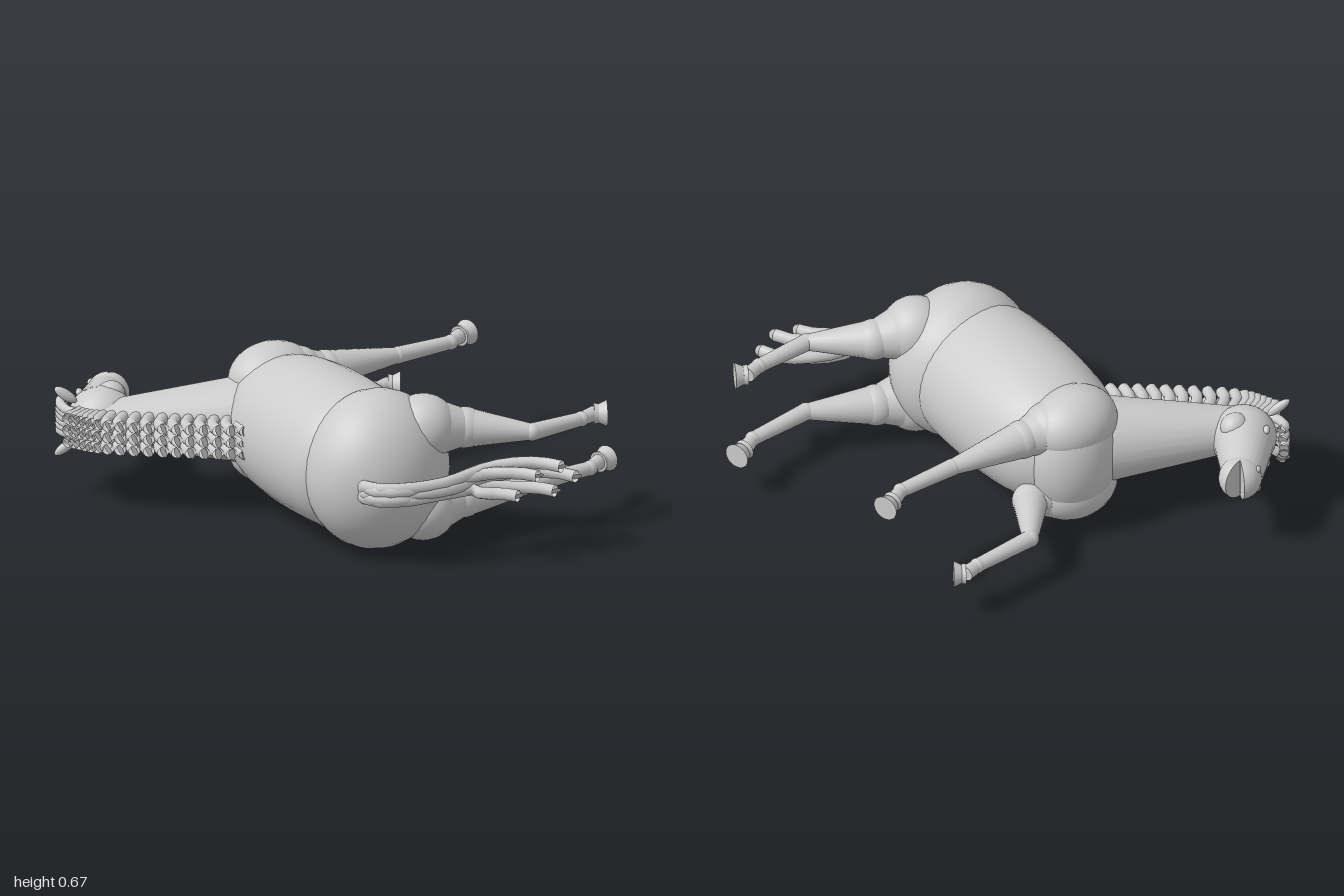
import * as THREE from 'three';

const mat = new THREE.MeshStandardMaterial({ color: 0xcccccc, side: THREE.DoubleSide });

// horse frame: x towards the tail, up along the back, lat towards the upper flank
const v = (x, up, lat = 0) => new THREE.Vector3(x, up, -lat);

function add(parent, name, geometry, pos) {
  const mesh = new THREE.Mesh(geometry, mat);
  mesh.name = name;
  if (pos) mesh.position.copy(pos);
  parent.add(mesh);
  return mesh;
}

function ellipsoid(parent, name, pos, rx, ry, rz, tilt = 0) {
  const mesh = add(parent, name, new THREE.SphereGeometry(1, 32, 24), pos);
  mesh.scale.set(rx, ry, rz);
  mesh.rotation.z = tilt;
  return mesh;
}

// tapered cylinder between two points
function cone(parent, name, a, b, ra, rb) {
  const dir = b.clone().sub(a);
  const mesh = add(parent, name, new THREE.CylinderGeometry(rb, ra, dir.length(), 24),
    a.clone().add(b).multiplyScalar(0.5));
  mesh.quaternion.setFromUnitVectors(new THREE.Vector3(0, 1, 0), dir.normalize());
  return mesh;
}

// curved lock of hair with a flat end
function strand(parent, name, points, r) {
  const curve = new THREE.CatmullRomCurve3(points);
  add(parent, name, new THREE.TubeGeometry(curve, 14, r, 10), null);
  const end = curve.getPoint(1);
  const cap = add(parent, name + 'End', new THREE.CircleGeometry(r, 10), end);
  cap.lookAt(end.clone().add(curve.getTangent(1)));
}

// joints: [x, up, lat, radius] from the body down to the fetlock, then the hoof
function leg(parent, name, joints, hoofTop, hoofSole) {
  const g = new THREE.Group();
  g.name = name;
  parent.add(g);
  const p = joints.map(j => v(j[0], j[1], j[2]));
  joints.forEach((j, i) => {
    ellipsoid(g, 'joint', p[i], j[3], j[3], j[3]);
    if (i) cone(g, 'legSegment', p[i - 1], p[i], joints[i - 1][3] * 0.98, j[3] * 0.9);
  });
  const last = joints[joints.length - 1];
  const top = v(hoofTop[0], hoofTop[1], last[2]);
  const sole = v(hoofSole[0], hoofSole[1], last[2]);
  const mid = top.clone().lerp(sole, 0.35);
  cone(g, 'pastern', p[p.length - 1], top, 0.028, 0.032);
  cone(g, 'coronet', top, mid, 0.043, 0.04);
  cone(g, 'hoof', mid, sole, 0.038, 0.054);
}

function buildBody(g) {
  // barrel: lathe along x, tipped slightly up towards the rump
  const profile = [[0, -0.48], [0.15, -0.45], [0.235, -0.37], [0.283, -0.25], [0.304, -0.1], [0.31, 0.05],
    [0.307, 0.2], [0.29, 0.33], [0.2, 0.45], [0, 0.5]].map(p => new THREE.Vector2(...p));
  const spline = new THREE.SplineCurve(profile).getPoints(36).map(p => new THREE.Vector2(Math.max(p.x, 0), p.y));
  const barrel = add(g, 'barrel', new THREE.LatheGeometry(spline, 36), v(0.03, 0.108));
  barrel.rotation.z = -Math.PI / 2 + 0.1;
  ellipsoid(g, 'rump', v(0.43, 0.13), 0.273, 0.31, 0.333);
  ellipsoid(g, 'chest', v(-0.355, 0.06), 0.17, 0.2, 0.27);
  for (const s of [1, -1]) ellipsoid(g, 'shoulder', v(-0.345, 0.07, s * 0.15), 0.16, 0.195, 0.147);
  cone(g, 'neck', v(-0.3, 0.14), v(-0.655, 0.69), 0.195, 0.09);
}

function buildHead(g) {
  ellipsoid(g, 'skull', v(-0.71, 0.665), 0.135, 0.135, 0.13);
  cone(g, 'face', v(-0.715, 0.665), v(-0.925, 0.48), 0.13, 0.08);

  // muzzle: ball with a wedge left out for the open mouth
  const r = 0.088, gape = 0.95, mouth = Math.atan2(-0.065, -0.045);
  const muzzle = new THREE.Group();
  muzzle.name = 'muzzle';
  muzzle.position.copy(v(-0.918, 0.474));
  muzzle.rotation.z = mouth;
  g.add(muzzle);
  const ball = new THREE.SphereGeometry(r, 28, 20, Math.PI + gape / 2, Math.PI * 2 - gape);
  ball.rotateX(Math.PI / 2);
  add(muzzle, 'lips', ball);
  for (const s of [1, -1]) {
    const wall = new THREE.CircleGeometry(r, 24, -Math.PI / 2, Math.PI);
    wall.rotateX(Math.PI / 2);
    wall.rotateZ(s * gape / 2);
    add(muzzle, 'mouthWall', wall);
  }

  for (const s of [1, -1]) {
    ellipsoid(g, 'cheek', v(-0.72, 0.61, s * 0.085), 0.055, 0.06, 0.055);
    ellipsoid(g, 'eye', v(-0.82, 0.695, s * 0.083), 0.022, 0.014, 0.016, 0.7);
    ellipsoid(g, 'nostril', v(-0.968, 0.525, s * 0.045), 0.02, 0.012, 0.014, 1.1);
    const ear = ellipsoid(g, 'ear', v(-0.765, 0.805, s * 0.112), 0.018, 0.055, 0.022);
    ear.rotation.set(-s * 0.7, 0, 0.4);
  }
}

function buildHair(g) {
  // mane: three columns of short locks along the crest
  const crest = new THREE.CatmullRomCurve3([v(-0.22, 0.325), v(-0.41, 0.535), v(-0.6, 0.73), v(-0.7, 0.78)]);
  const rows = 17;
  for (let i = 0; i < rows; i++) {
    const t = i / (rows - 1), b = crest.getPoint(t);
    const dx = 0.1 - 0.07 * t * t, dy = 0.055 + 0.03 * t;
    for (const lat of [-0.05, 0, 0.05]) {
      strand(g, 'maneLock', [v(b.x - 0.04, b.y - 0.06, lat), v(b.x, b.y + 0.01, lat),
        v(b.x + dx * 0.45, b.y + dy * 0.75, lat), v(b.x + dx, b.y + dy, lat)], 0.024);
    }
  }
  // forelock fanning over the brow
  for (let i = 0; i < 6; i++) {
    const s = (i - 2.5) / 2.5, far = 0.05 * (1 - Math.abs(s));
    strand(g, 'forelockLock', [v(-0.68, 0.77, s * 0.045), v(-0.76, 0.805, s * 0.05),
      v(-0.83, 0.785, s * 0.06), v(-0.85 - far, 0.745 - far * 0.4, s * 0.07)], 0.02);
  }
  // tail: [end x, end up, end lat]
  const ends = [[0.97, -0.18, -0.03], [0.97, -0.28, 0.035], [0.98, -0.36, -0.045],
    [0.985, -0.39, 0.055], [0.995, -0.455, 0.0]];
  ends.forEach(([x, up, lat], i) => {
    const d = (i - 2) * 0.008, w = lat * 0.5;
    strand(g, 'tailLock', [v(0.57, 0.33, w), v(0.665, 0.335, w), v(0.745, 0.25 - d, w), v(0.785 + d, 0.06, w),
      v(0.8 - d, up * 0.45, lat * 0.8), v(0.85, up + 0.1, lat), v(0.915, up + 0.03, lat), v(x, up, lat)], 0.026);
  });
}

function buildLegs(g) {
  leg(g, 'rightFrontLeg', [[-0.32, -0.03, 0.15, 0.115], [-0.3, -0.16, 0.145, 0.08], [-0.26, -0.5, 0.14, 0.036],
    [-0.25, -0.76, 0.14, 0.032]], [-0.285, -0.83], [-0.302, -0.885]);
  leg(g, 'leftFrontLeg', [[-0.33, -0.03, -0.15, 0.115], [-0.34, -0.15, -0.145, 0.075], [-0.56, -0.335, -0.125, 0.036],
    [-0.565, -0.62, -0.125, 0.032]], [-0.578, -0.69], [-0.548, -0.73]);
  leg(g, 'rightHindLeg', [[0.53, -0.03, 0.17, 0.14], [0.6, -0.19, 0.155, 0.085], [0.775, -0.4, 0.14, 0.037],
    [0.775, -0.65, 0.14, 0.032]], [0.757, -0.725], [0.785, -0.77]);
  leg(g, 'leftHindLeg', [[0.53, -0.03, -0.17, 0.14], [0.575, -0.2, -0.155, 0.085], [0.69, -0.475, -0.125, 0.037],
    [0.685, -0.76, -0.125, 0.032]], [0.65, -0.83], [0.635, -0.885]);
}

export function createModel() {
  const model = new THREE.Group();
  model.name = 'horse';
  const horse = new THREE.Group();
  horse.name = 'lyingHorse';
  // lay the animal on its side
  horse.rotation.x = Math.PI / 2;
  horse.position.y = 0.335;
  model.add(horse);
  for (const build of [buildBody, buildHead, buildHair, buildLegs]) build(horse);
  return model;
}
